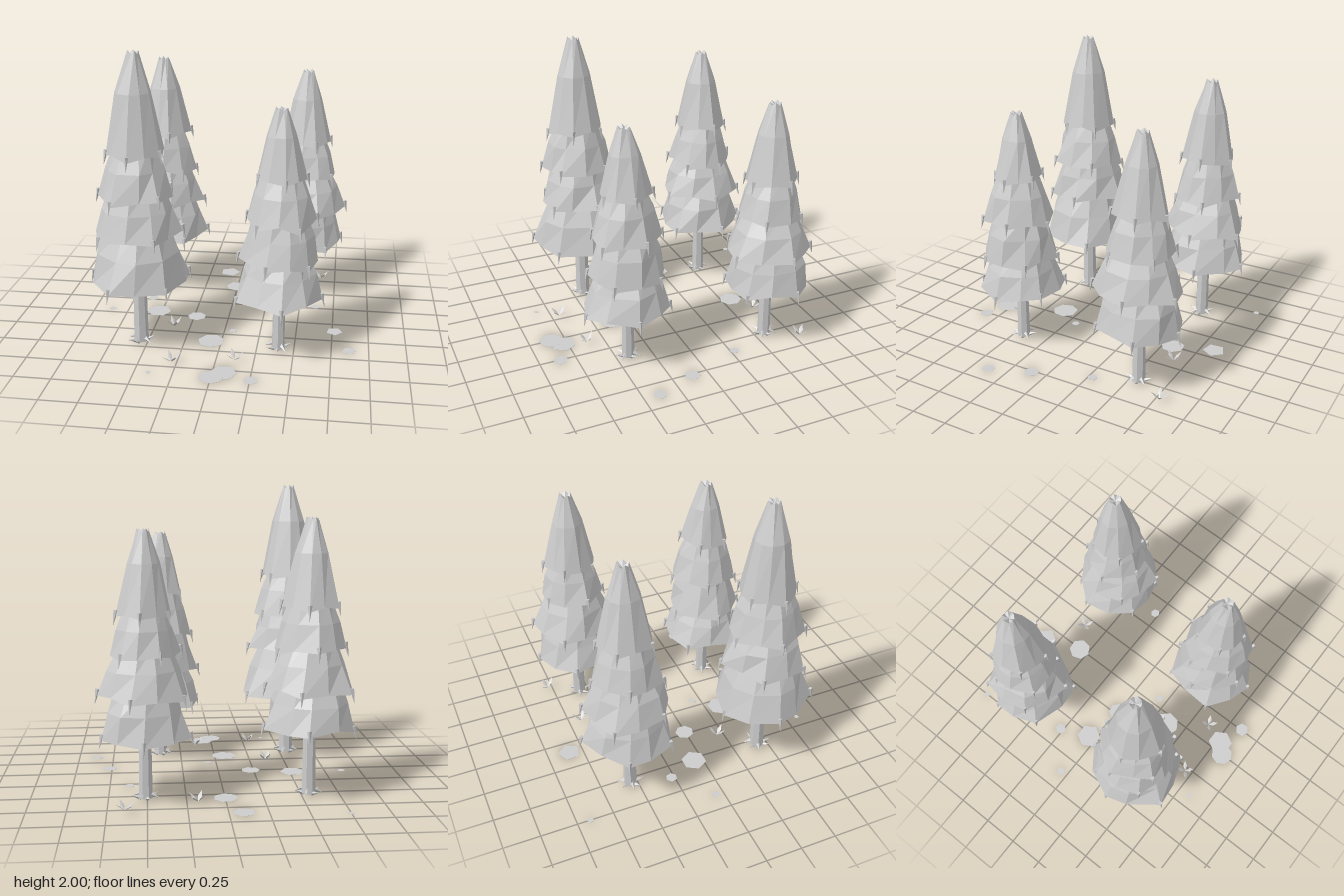
import * as THREE from 'three';

const grey = new THREE.MeshStandardMaterial({ color: 0xcccccc, flatShading: true });
grey.name = 'pale grey';

// Small seeded generator for repeatable irregularity
let seed = 1;
const rand = (a, b) => {
  seed = (seed * 16807) % 2147483647;
  return a + (b - a) * (seed / 2147483647);
};

function part(name, geometry, parent) {
  const mesh = new THREE.Mesh(geometry, grey);
  mesh.name = name;
  parent.add(mesh);
  return mesh;
}

const polar = (r, a, y) => new THREE.Vector3(r * Math.sin(a), y, r * Math.cos(a));

// Faceted skin over closed rings listed from top to bottom
function loft(rings) {
  const pos = [];
  const n = rings[0].length;
  for (let k = 0; k < rings.length - 1; k++) {
    for (let i = 0; i < n; i++) {
      const j = (i + 1) % n, u = rings[k], l = rings[k + 1];
      for (const p of [l[i], l[j], u[j], l[i], u[j], u[i]]) pos.push(p.x, p.y, p.z);
    }
  }
  const g = new THREE.BufferGeometry();
  g.setAttribute('position', new THREE.Float32BufferAttribute(pos, 3));
  g.computeVertexNormals();
  return g;
}

// One ragged skirt of branches, open in the middle underneath
function addSkirt(tree, bottom, radius, top, topRadius, isCrown) {
  const n = 10, turn = rand(0, 6.28), h = top - bottom;
  const outer = [], mid = [], upper = [], inner = [], dip = [];
  const hooks = [];
  for (let i = 0; i < n; i++) {
    const a = turn + (i / n) * Math.PI * 2 + rand(-0.1, 0.1);
    const isTip = i % 2 === 0;
    const r = radius * (isTip ? rand(0.98, 1.09) : rand(0.92, 1.0));
    const y = bottom + (isTip ? rand(-0.03, 0.01) : rand(-0.01, 0.025));
    outer.push(polar(r, a, y));
    // The crown narrows faster near its peak
    const midRadius = isCrown ? radius * 0.59 : radius * 0.5 + topRadius * 0.5;
    mid.push(polar(midRadius * rand(0.97, 1.08), a + 0.05, bottom + h * (isCrown ? 0.6 : 0.52)));
    upper.push(polar(topRadius * rand(0.93, 1.07), a + 0.1, top - (isCrown && isTip ? 0.02 : 0)));
    inner.push(polar(radius * 0.33, a, bottom + 0.11));
    dip.push(polar(0.001, a, top - 0.03));
    if (isTip) hooks.push([r, a, y]);
  }
  const rings = [upper, mid, outer, inner];
  if (isCrown) rings.unshift(dip);
  part('branchSkirt', loft(rings), tree);
  // Drooping twig ends on the longest points
  for (const [r, a, y] of hooks) {
    const g = new THREE.ConeGeometry(0.015, 0.1, 4);
    g.rotateX(Math.PI - 0.2);
    g.translate(0, y - 0.008, r + 0.004);
    g.rotateY(a);
    part('twigEnd', g, tree);
  }
}

function addTree(forest, { x, z, height, trunk, layers }) {
  const tree = new THREE.Group();
  tree.name = 'pineTree';
  tree.position.set(x, 0, z);
  forest.add(tree);

  // Trunk with pointed roots
  const trunkTop = layers[0][0] + 0.18;
  const wood = new THREE.CylinderGeometry(trunk * 0.9, trunk * 1.08, trunkTop - 0.015, 7);
  wood.translate(0, (trunkTop + 0.015) / 2, 0);
  part('trunk', wood, tree);
  for (let i = 0; i < 7; i++) {
    const root = new THREE.ConeGeometry(0.016, 0.065, 4);
    root.rotateX(Math.PI / 2 + (i % 2 ? 0.45 : -0.3));
    root.translate(0, i % 2 ? 0.03 : 0.027, trunk + 0.02);
    root.rotateY((i / 7) * Math.PI * 2 + rand(-0.2, 0.2));
    part('root', root, tree);
  }

  // Stacked skirts, each tucked under the next
  layers.forEach(([bottom, radius], i) => {
    const next = layers[i + 1];
    if (next) addSkirt(tree, bottom, radius, next[0] + 0.06, next[1] * 0.7, false);
    else addSkirt(tree, bottom, radius, height, 0.038, true);
  });
}

export function createModel() {
  seed = 4711;
  const forest = new THREE.Group();
  forest.name = 'pineGrove';

  // Trees: layers are [rim height, rim radius]
  const trees = [
    { x: -0.545, z: 0.425, height: 2.0, trunk: 0.048,
      layers: [[0.47, 0.325], [0.81, 0.28], [1.07, 0.245], [1.35, 0.19]] },
    { x: 0.395, z: 0.42, height: 1.67, trunk: 0.041,
      layers: [[0.42, 0.29], [0.66, 0.255], [0.93, 0.235], [1.22, 0.165]] },
    { x: 0.51, z: -0.565, height: 1.73, trunk: 0.042,
      layers: [[0.43, 0.285], [0.69, 0.285], [0.95, 0.22], [1.2, 0.175]] },
    { x: -0.545, z: -0.55, height: 1.8, trunk: 0.043,
      layers: [[0.46, 0.295], [0.72, 0.28], [0.97, 0.23], [1.24, 0.18]] },
  ];
  trees.forEach((t) => addTree(forest, t));

  // Flat stones: x, z, radius, sides, turn
  const stones = [
    [-0.75, -0.91, 0.023, 5, 0.5], [-0.095, -0.845, 0.078, 5, 0.4], [-0.005, -0.57, 0.082, 7, 0.1],
    [-0.61, -0.27, 0.04, 6, 0.3], [0.62, -0.28, 0.035, 6, 0.2], [-0.52, -0.06, 0.088, 6, Math.PI / 2],
    [-0.87, -0.055, 0.028, 6, 0.5], [-0.23, -0.005, 0.066, 7, 0.2], [0.06, 0.19, 0.028, 6, 0.5],
    [-0.07, 0.36, 0.092, 7, 0.1], [0.765, 0.11, 0.057, 5, 0.15], [0.87, 0.385, 0.046, 6, Math.PI / 2],
    [0.07, 0.78, 0.09, 6, Math.PI / 2], [0, 0.845, 0.08, 8, 0.1], [0.255, 0.855, 0.05, 6, 0.1],
    [-0.41, 0.835, 0.018, 6, 0.3],
  ];
  stones.forEach(([x, z, r, sides, turn], i) => {
    const stone = part('flatStone', new THREE.CylinderGeometry(r, r, 0.001, sides), forest);
    stone.position.set(x, 0.0005 + (i % 2) * 0.0004, z);
    stone.rotation.y = turn;
  });

  // Tufts of thin diamond-shaped leaves: x, z, turn
  const tufts = [
    [-0.28, 0.7, 0.75], [0.125, 0.625, 0.5], [0.18, -0.66, 0.9], [0.64, -0.785, 0.6], [-0.36, 0.195, 0.7],
  ];
  for (const [x, z, turn] of tufts) {
    const tuft = new THREE.Group();
    tuft.name = 'grassTuft';
    tuft.position.set(x, 0.012, z);
    for (let i = 0; i < 4; i++) {
      const leaf = new THREE.OctahedronGeometry(1);
      leaf.scale(0.015, 0.042, 0.002);
      leaf.translate(0, 0.042, 0);
      leaf.rotateX(rand(0.75, 1.0));
      leaf.rotateY(turn + i * (Math.PI / 2) + rand(-0.25, 0.25));
      part('leaf', leaf, tuft);
    }
    forest.add(tuft);
  }
  return forest;
}
